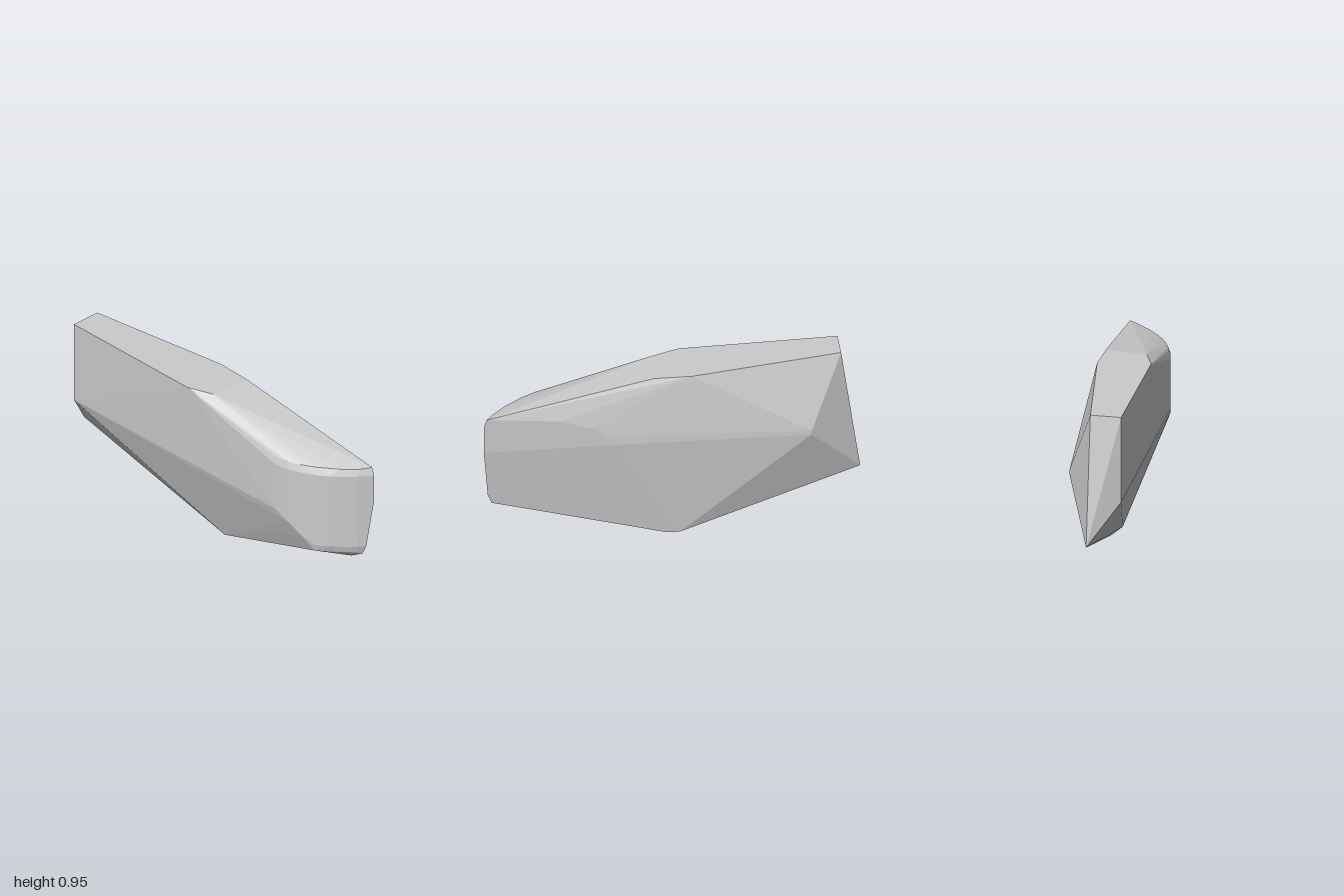
import * as THREE from 'three';
import { ConvexGeometry } from 'three/addons/geometries/ConvexGeometry.js';

export function createModel() {
  const group = new THREE.Group();
  const points = [];
  const add = (x, y, z) => points.push(new THREE.Vector3(x, y, z));
  const ring = (y, corners) => corners.forEach(([x, z]) => add(x, y, z));

  // flat top
  ring(0.95, [[-0.9, 0.025], [-0.9, 0.19], [-0.06, 0.16], [0.08, 0.105], [0.1, -0.12], [-0.1, -0.12]]);

  // small flat base
  ring(0, [[-0.1, -0.045], [0.04, -0.015], [0.03, -0.12], [-0.04, -0.12]]);

  // pointed end: front lower corner, tip and back ridge corner
  add(-0.9, 0.48, 0.19);
  add(-1, 0.25, 0.025);
  add(-0.73, 0.575, -0.125);
  add(-0.725, 0.55, -0.126);

  // rounded end wall: x, z and lower height of each upright
  const wall = [
    [0.57, 0.119, 0.48], [0.65, 0.102, 0.43], [0.72, 0.074, 0.37], [0.79, 0.034, 0.32],
    [0.85, -0.012, 0.32], [0.9, -0.06, 0.32], [0.95, -0.115, 0.32], [0.976, -0.157, 0.32],
  ];
  for (const [x, z, low] of wall) {
    add(x, low, z);
    add(x, 0.757, z);
  }
  ring(0.757, [[1, -0.19]]);

  // bevel above the rounded wall
  ring(0.795, [[0.57, 0.108], [0.64, 0.092], [0.71, 0.062], [0.78, 0.02], [0.88, -0.06], [0.95, -0.135]]);
  add(0.985, 0.8, -0.19);

  // bevel below the rounded wall
  ring(0.28, [[0.78, 0.03], [0.84, -0.02], [0.9, -0.075], [0.94, -0.12]]);
  add(0.955, 0.265, -0.15);
  add(0.9, 0.24, -0.12);

  // flat back panel with a curved edge
  for (const [x, y] of [[1, 0.6], [0.3, 0.6], [0.34, 0.65], [0.43, 0.71], [0.6, 0.765]]) add(x, y, -0.19);

  const body = new THREE.Mesh(
    new ConvexGeometry(points),
    new THREE.MeshStandardMaterial({ color: 0xcccccc, flatShading: true })
  );
  body.name = 'facetedStone';
  group.add(body);
  return group;
}
